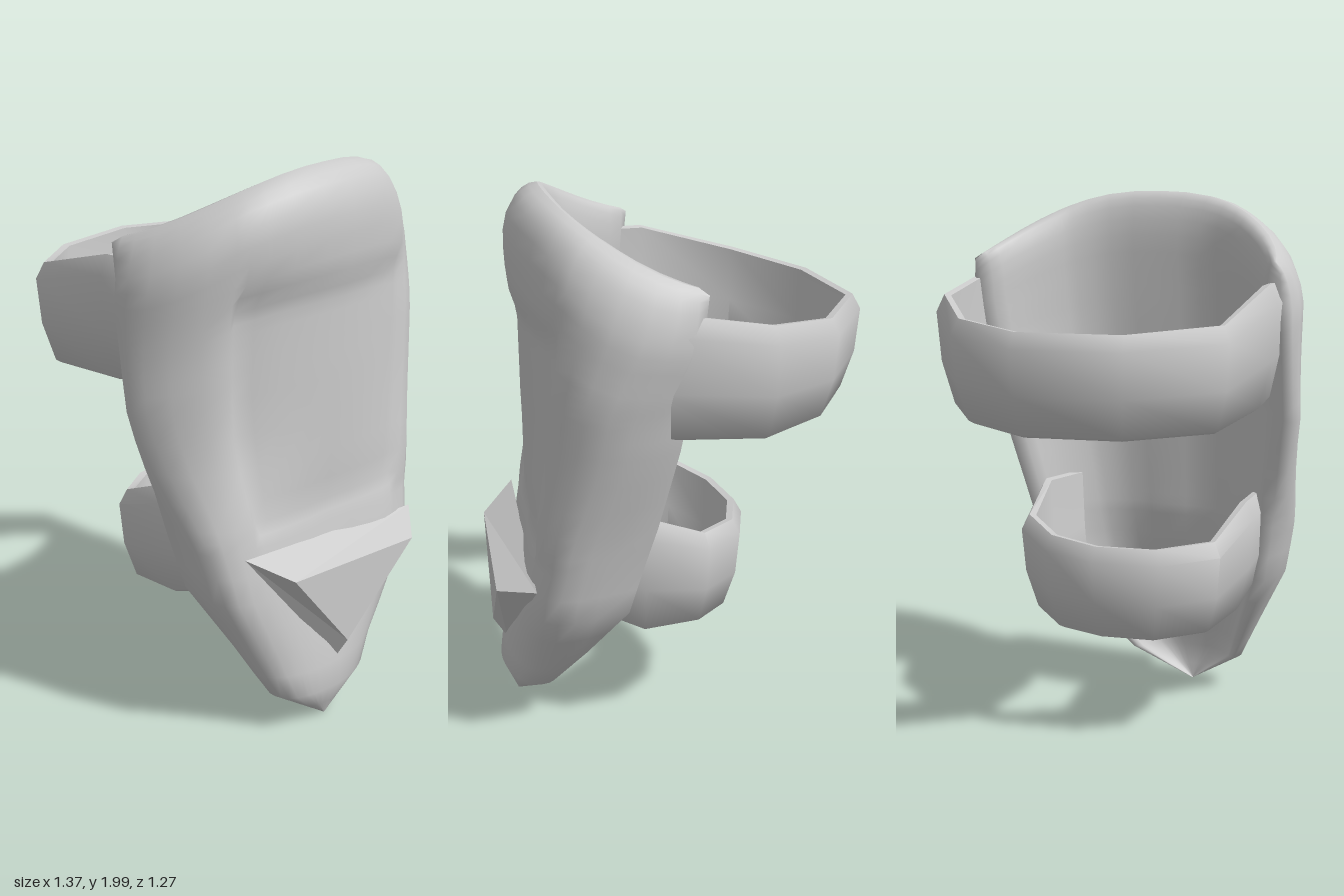
import * as THREE from 'three';
import { mergeVertices, toCreasedNormals } from 'three/addons/utils/BufferGeometryUtils.js';

const material = new THREE.MeshStandardMaterial({ color: 0xcccccc });
const doubleSided = new THREE.MeshStandardMaterial({ color: 0xcccccc, side: THREE.DoubleSide });
const smooth = THREE.MathUtils.smoothstep;
const mix = THREE.MathUtils.lerp;

// Joins rows of points into a surface; every row is a closed loop.
function loft(rows) {
  const n = rows[0].length, index = [];
  for (let r = 0; r < rows.length - 1; r++) {
    for (let j = 0; j < n; j++) {
      const a = r * n + j, b = r * n + (j + 1) % n;
      index.push(a, a + n, b, b, a + n, b + n);
    }
  }
  const geometry = new THREE.BufferGeometry();
  geometry.setAttribute('position', new THREE.Float32BufferAttribute(rows.flat(2), 3));
  geometry.setIndex(index);
  return geometry;
}

// Half cross-section of the guard, centre to edge: [across, depth], both 0..1
const OUTER = [[0, 1], [0.2, 0.98], [0.4, 0.925], [0.55, 0.865], [0.64, 0.805], [0.7, 0.765],
  [0.82, 0.67], [0.92, 0.53], [0.985, 0.36], [1, 0.2], [0.98, 0.07], [0.92, 0]];
const INNER = [[0, 0.64], [0.14, 0.64], [0.28, 0.63], [0.39, 0.59], [0.48, 0.54], [0.54, 0.49],
  [0.61, 0.41], [0.68, 0.32], [0.74, 0.22], [0.79, 0.12], [0.83, 0.04], [0.92, 0]];
const mirrored = (half) => [...half.slice(1).reverse().map(([u, s]) => [-u, s]), ...half];

// Guard stations: [height, centre z, half width, edge x, crest x]
const STATIONS = [
  [0.01, 0.11, 0, 0.55, 0.56], [0.15, 0.1, 0.23, 0.46, 0.62], [0.33, 0.07, 0.35, 0.36, 0.6],
  [0.55, 0.05, 0.48, 0.23, 0.555], [0.75, 0.05, 0.52, 0.18, 0.52], [0.9, 0.045, 0.545, 0.14, 0.535],
  [1.2, 0.03, 0.605, 0.08, 0.55], [1.4, 0.01, 0.625, 0.05, 0.555], [1.55, 0, 0.635, 0.02, 0.565],
  [1.65, 0, 0.635, 0.01, 0.565], [1.74, 0, 0.635, 0, 0.56],
];

function station(y) {
  let i = 0;
  while (i < STATIONS.length - 2 && y > STATIONS[i + 1][0]) i++;
  const a = STATIONS[i], b = STATIONS[i + 1], t = (y - a[0]) / (b[0] - a[0]);
  return a.map((v, k) => mix(v, b[k], t));
}

function guardGeometry() {
  const heights = [0.01, 0.07, 0.15, 0.24, 0.33, 0.44, 0.55, 0.65, 0.74, 0.78, 0.82, 0.9, 1, 1.1, 1.2,
    1.26, 1.3, 1.33, 1.36, 1.39, 1.42, 1.46, 1.5, 1.55, 1.6, 1.65, 1.69, 1.715, 1.73, 1.735];
  const inner = mirrored(INNER);
  const rows = heights.map((h) => {
    const [, c, w, edge, crest] = station(h);
    // the outer face is flatter low down; above, the -z side stays flat and the +z side falls away
    const low = 1 - smooth(h, 0.7, 1.2), below = 1 - smooth(h, 1.3, 1.72);
    const flat = mix(0.8, 0.42, smooth(h, 0.2, 0.6));
    const outer = mirrored(OUTER).map(([u, s]) => [u, s ** mix(mix(1, u < 0 ? 0.6 : 1.45, below), flat, low)]);
    // the -z side swells outwards around the spike
    const swell = 0.1 * smooth(h, 0.15, 0.65) * (1 - smooth(h, 0.8, 1.6));
    // the thickness closes in a round lip at the top
    const t = Math.min(1, Math.max(0, (h - 1.57) / 0.165));
    const full = Math.sqrt(1 - t * t);
    const point = ([u, s], i) => {
      const mu = mix(inner[i][0], outer[i][0], 0.35), ms = mix(inner[i][1], outer[i][1], 0.35);
      const pu = mix(mu, u, full), ps = mix(ms, s, full);
      const arch = 1 - Math.min(1, Math.abs(pu) / 0.98) ** 2.4;
      const lift = 0.265 * (0.75 * arch + 0.25 * Math.min(1, ps / 0.75)) * smooth(h, 0.9, 1.74);
      return [edge + (crest - edge) * ps + swell * Math.max(0, -pu) * ps, h + lift, c + w * pu];
    };
    const front = outer.map((p, i) => {
      const q = point(p, i);
      // sunken panel on the outer face
      const panel = (1 - smooth(Math.abs(p[0]), 0.64, 0.71))
        * smooth(q[1], 0.75, 0.82) * (1 - smooth(q[1], 1.56, 1.68));
      q[0] -= (0.025 + 0.03 * Math.max(0, p[0]) * (1 - low)) * panel;
      return q;
    });
    return [...front, ...inner.map(point).slice(1, -1).reverse()];
  });
  const geometry = loft(rows);
  geometry.computeVertexNormals();
  return geometry;
}

// Strap section, up the inside and down the outer face: [inset, height 0..1]
const STRAP = [[0.055, 0.97], [0.07, 0.45], [0.095, 0.04], [0.08, 0], [0.06, 0.03], [0.015, 0.4], [0, 0.83], [0.03, 0.98]];

// path: [x, z, bottom, top], inset towards the centre (cx, cz)
function strapGeometry(path, cx, cz) {
  const rows = path.map(([x, z, low, high]) => {
    const dir = new THREE.Vector2(cx - x, cz - z).normalize();
    return STRAP.map(([d, v]) => [x + dir.x * d, mix(low, high, v), z + dir.y * d]);
  });
  return toCreasedNormals(mergeVertices(loft(rows)), 1);
}

// Three-sided frustum with flat faces
function spikeGeometry() {
  const base = [[0.56, 0.67, -0.39], [0.5, 0.73, 0.49], [0.6, 0.25, 0.1]];
  const tip = [[0.68, 0.62, -0.24], [0.63, 0.65, 0.38], [0.65, 0.33, 0.1]];
  const faces = [[3, 4, 5], [0, 2, 1]];
  for (let i = 0; i < 3; i++) {
    const j = (i + 1) % 3;
    faces.push([i, j, j + 3], [i, j + 3, i + 3]);
  }
  const points = [...base, ...tip];
  const geometry = new THREE.BufferGeometry();
  geometry.setAttribute('position', new THREE.Float32BufferAttribute(faces.flat().flatMap((i) => points[i]), 3));
  geometry.computeVertexNormals();
  return geometry;
}

export function createModel() {
  const model = new THREE.Group();
  model.name = 'armGuard';
  const add = (name, geometry, mat) => {
    const mesh = new THREE.Mesh(geometry, mat);
    mesh.name = name;
    model.add(mesh);
  };

  add('guardPlate', guardGeometry(), material);
  add('spike', spikeGeometry(), doubleSided);

  add('upperStrap', strapGeometry([
    [0.14, -0.62, 1.26, 1.72], [-0.23, -0.635, 1.24, 1.66], [-0.5, -0.45, 1.23, 1.61],
    [-0.69, -0.15, 1.23, 1.6], [-0.64, 0.23, 1.23, 1.6], [-0.43, 0.53, 1.24, 1.62],
    [-0.05, 0.59, 1.26, 1.72], [0.12, 0.59, 1.28, 1.72],
  ], -0.05, 0), doubleSided);

  add('lowerStrap', strapGeometry([
    [0.36, -0.33, 0.5, 0.91], [0.17, -0.405, 0.44, 0.91], [-0.07, -0.38, 0.44, 0.82], [-0.23, -0.22, 0.42, 0.79],
    [-0.3, -0.01, 0.42, 0.78], [-0.27, 0.23, 0.42, 0.78], [-0.15, 0.425, 0.44, 0.8],
    [0.1, 0.48, 0.46, 0.9], [0.3, 0.49, 0.52, 0.91],
  ], 0.1, 0.02), doubleSided);

  return model;
}
